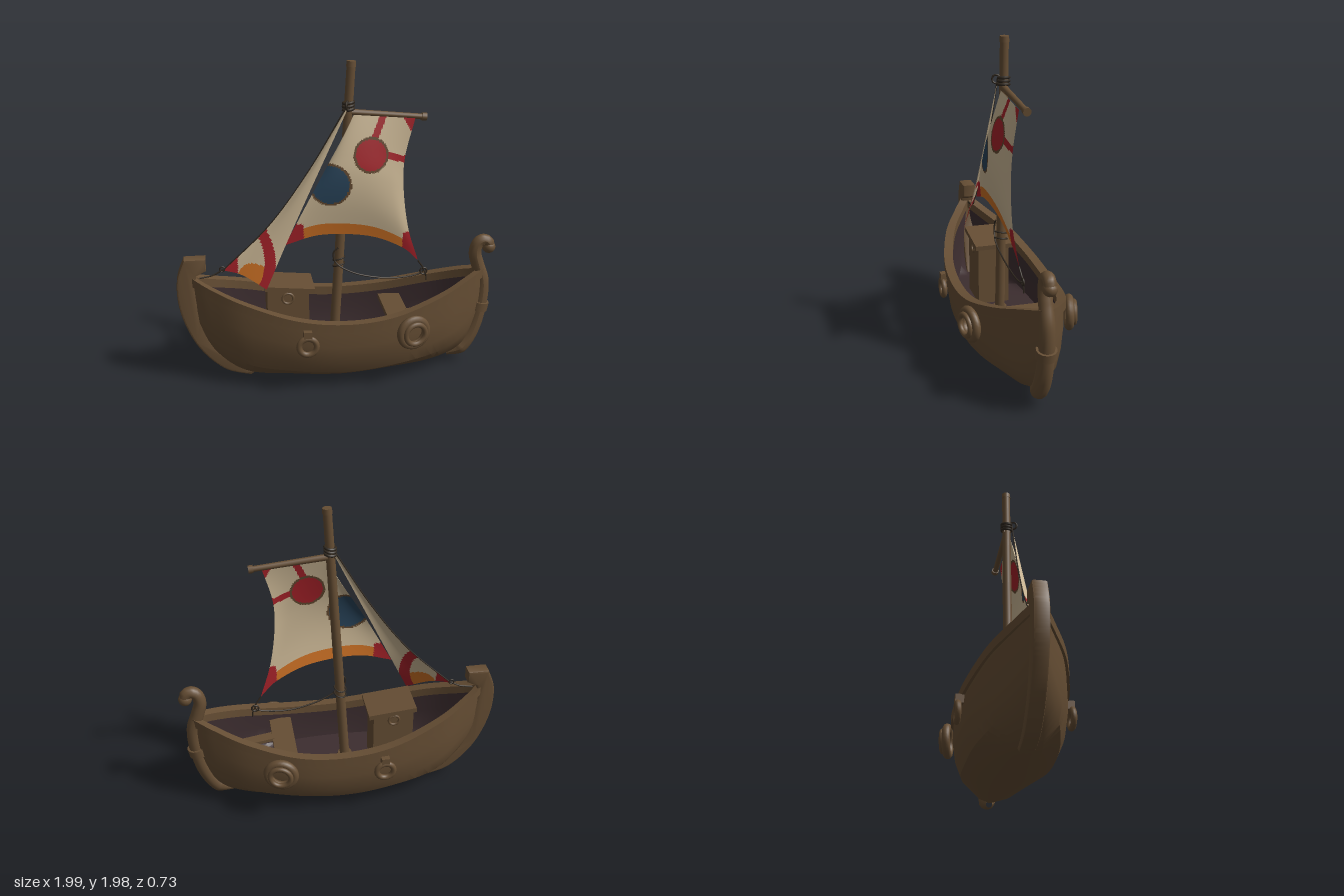
import * as THREE from 'three';
import { toCreasedNormals } from 'three/addons/utils/BufferGeometryUtils.js';

const V = (x, y, z = 0) => new THREE.Vector3(x, y, z);
const curve = (pts) => new THREE.CatmullRomCurve3(pts.map((p) => V(...p)), false, 'catmullrom');
const mat = (name, color, side = THREE.FrontSide) => {
  const m = new THREE.MeshStandardMaterial({ color, side });
  m.name = name;
  return m;
};

// Surface through rows of points, one row per cross-section
function loft(rows, crease = 0.7) {
  const n = rows[0].length, index = [];
  for (let i = 0; i < rows.length - 1; i++) {
    for (let j = 0; j < n - 1; j++) {
      const a = i * n + j, b = a + n;
      index.push(a, b, a + 1, b, b + 1, a + 1);
    }
  }
  const g = new THREE.BufferGeometry().setFromPoints(rows.flat());
  g.setIndex(index);
  return toCreasedNormals(g, crease);
}

// Four-edged cloth patch whose cells are grouped by paint colour
function sailGeometry(bottom, top, left, right, bulge, paint, N = 90) {
  const pts = [], cells = [[], [], [], [], []];
  const c00 = bottom.getPoint(0), c10 = bottom.getPoint(1), c01 = top.getPoint(0), c11 = top.getPoint(1);
  for (let j = 0; j <= N; j++) {
    for (let i = 0; i <= N; i++) {
      const u = i / N, v = j / N;
      const p = bottom.getPoint(u).multiplyScalar(1 - v).addScaledVector(top.getPoint(u), v)
        .addScaledVector(left.getPoint(v), 1 - u).addScaledVector(right.getPoint(v), u)
        .addScaledVector(c00, -(1 - u) * (1 - v)).addScaledVector(c10, -u * (1 - v))
        .addScaledVector(c01, -(1 - u) * v).addScaledVector(c11, -u * v);
      p.z += bulge * Math.sin(Math.PI * u) * Math.sin(Math.PI * v);
      pts.push(p);
    }
  }
  for (let j = 0; j < N; j++) {
    for (let i = 0; i < N; i++) {
      const a = j * (N + 1) + i, d = a + N + 1;
      const x = (pts[a].x + pts[d + 1].x) / 2, y = (pts[a].y + pts[d + 1].y) / 2;
      cells[paint(x, y, (i + 0.5) / N, (j + 0.5) / N)].push(a, a + 1, d, a + 1, d + 1, d);
    }
  }
  const g = new THREE.BufferGeometry().setFromPoints(pts);
  g.setIndex(cells.flat());
  let start = 0;
  cells.forEach((c, k) => { g.addGroup(start, c.length, k); start += c.length; });
  g.computeVertexNormals();
  return g;
}

const near = (x, y, cx, cy) => Math.hypot(x - cx, y - cy);
function segDist(x, y, ax, ay, bx, by) {
  const dx = bx - ax, dy = by - ay;
  const t = THREE.MathUtils.clamp(((x - ax) * dx + (y - ay) * dy) / (dx * dx + dy * dy), 0, 1);
  return near(x, y, ax + dx * t, ay + dy * t);
}

export function createModel() {
  const model = new THREE.Group();
  model.name = 'sailboat';
  const wood = mat('wood', 0x664e34), hullWood = mat('hullWood', 0x664e34, THREE.DoubleSide);
  hullWood.name = 'wood shell';
  const dark = mat('dark interior', 0x3c2d2f, THREE.DoubleSide), rope = mat('rope', 0x30281f);
  const cloth = [['cream cloth', 0xcbb795], ['red paint', 0xa32128], ['orange paint', 0xcb7024],
    ['blue paint', 0x284359], ['brown outline', 0x62482f]].map(([n, c]) => mat(n, c, THREE.DoubleSide));
  const add = (name, geo, m, x = 0, y = 0, z = 0, parent = model) => {
    const mesh = new THREE.Mesh(geo, m);
    mesh.name = name;
    mesh.position.set(x, y, z);
    parent.add(mesh);
    return mesh;
  };
  const tube = (name, pts, r, m, seg = 40) => add(name, new THREE.TubeGeometry(curve(pts), seg, r, 8), m);
  const pole = (name, a, b, ra, rb, m = wood) => {
    const d = b.clone().sub(a), mid = a.clone().add(b).multiplyScalar(0.5);
    const mesh = add(name, new THREE.CylinderGeometry(rb, ra, d.length(), 14), m, mid.x, mid.y, mid.z);
    mesh.quaternion.setFromUnitVectors(V(0, 1, 0), d.normalize());
    return mesh;
  };

  // Hull stations: x, half width, rail height, keel height
  const stations = [[-0.92, 0.02, 0.7, 0.42], [-0.8, 0.1, 0.645, 0.2], [-0.6, 0.205, 0.575, 0.045],
    [-0.3, 0.285, 0.49, 0.018], [0, 0.305, 0.455, 0], [0.3, 0.285, 0.475, 0.02],
    [0.6, 0.205, 0.55, 0.045], [0.8, 0.105, 0.615, 0.13], [0.92, 0.02, 0.65, 0.4]];
  const plan = curve(stations.map(([x, w, t]) => [x, w, t]));
  const keel = curve(stations.map(([x, , , b]) => [x, b, 0]));
  const half = [[0, 0], [0.4, 0.05], [0.82, 0.22], [0.94, 0.4], [1, 0.65], [0.98, 0.97]];
  const profile = [...half.slice(1).reverse().map(([z, y]) => [-z, y]), ...half];
  const outer = [], inner = [], rails = [[], []];
  for (let i = 0; i <= 48; i++) {
    const { x, y: w, z: top } = plan.getPoint(i / 48), bot = keel.getPoint(i / 48).y;
    const wi = Math.max(w - 0.03, 0.002);
    outer.push(profile.map(([z, y]) => V(x, bot + (top - bot) * y, z * w)));
    inner.push(profile.map(([z, y]) => V(x, Math.max(bot + (top - bot) * y, 0.2), z * wi)));
    const a = Math.max(w - 0.045, 0), b = w + 0.013;
    [1, -1].forEach((s, k) => rails[k].push(
      [[a, top], [b, top], [b, top - 0.055], [a, top - 0.055], [a, top]].map(([z, y]) => V(x, y, s * z))));
  }
  add('hullOutside', loft(outer, 0.5), hullWood);
  add('hullInside', loft(inner), dark);
  rails.forEach((r, k) => add(k ? 'backRail' : 'frontRail', loft(r), hullWood));

  // Flat stem post with a hooked top
  const s = new THREE.Shape();
  s.moveTo(-0.83, 0.8);
  s.lineTo(-0.94, 0.8);
  s.splineThru([[-0.985, 0.66], [-0.97, 0.46], [-0.88, 0.24], [-0.73, 0.08], [-0.57, 0.025]].map((p) => new THREE.Vector2(...p)));
  s.lineTo(-0.53, 0.05);
  s.splineThru([[-0.65, 0.11], [-0.77, 0.23], [-0.86, 0.45], [-0.9, 0.6], [-0.89, 0.71]].map((p) => new THREE.Vector2(...p)));
  s.lineTo(-0.83, 0.74);
  add('flatStem', toCreasedNormals(new THREE.ExtrudeGeometry(s, {
    depth: 0.064, bevelSize: 0.012, bevelThickness: 0.012, bevelSegments: 2, curveSegments: 24 }), 0.6), wood, 0, 0, -0.032);

  // Round stem post with a curled top, tapered along its length
  const stemPath = curve([[0.7, 0.06], [0.8, 0.11], [0.87, 0.23], [0.91, 0.39], [0.92, 0.55], [0.885, 0.67],
    [0.865, 0.75], [0.882, 0.815], [0.922, 0.833], [0.953, 0.807], [0.95, 0.785]]);
  const stemGeo = new THREE.TubeGeometry(stemPath, 70, 1, 14);
  const sp = stemGeo.attributes.position, v = V(0, 0);
  for (let i = 0; i < sp.count; i++) {
    const t = Math.floor(i / 15) / 70, c = stemPath.getPointAt(t);
    const r = t < 0.1 ? 0.02 + t * 0.33 : 0.055 - 0.019 * t;
    v.fromBufferAttribute(sp, i).sub(c).multiplyScalar(r).add(c);
    sp.setXYZ(i, v.x, v.y, v.z);
  }
  stemGeo.computeVertexNormals();
  add('curledStem', stemGeo, wood);
  add('curlTip', new THREE.SphereGeometry(0.042, 16, 12), wood, 0.952, 0.785, 0);
  pole('stemBand', V(0.902, 0.36), V(0.913, 0.415), 0.06, 0.06);

  // Mast, yard and lashings
  pole('mast', V(-0.035, 0.2), V(0.069, 1.96), 0.031, 0.026);
  pole('mastCap', V(0.068, 1.945), V(0.07, 1.978), 0.029, 0.027);
  pole('mastFoot', V(-0.036, 0.2), V(-0.033, 0.25), 0.05, 0.045);
  pole('yard', V(0.03, 1.68), V(0.51, 1.635), 0.02, 0.017);
  pole('yardTip', V(0.495, 1.637), V(0.523, 1.634), 0.024, 0.024);
  for (const y of [1.695, 1.715, 1.735]) {
    const lash = add('mastLashing', new THREE.TorusGeometry(0.031, 0.009, 8, 20), rope, 0.054, y, 0);
    lash.rotation.set(Math.PI / 2, 0.15, 0);
  }
  add('blockRing', new THREE.TorusGeometry(0.025, 0.006, 8, 18), rope, 0.04, 1.725, 0.04).rotation.y = 1.2;

  // Main sail
  const main = sailGeometry(
    curve([[-0.34, 0.89, 0.07], [-0.12, 0.945, 0.07], [0.17, 0.92, 0.06], [0.38, 0.83, 0.045], [0.49, 0.73, 0.03]]),
    curve([[0.09, 1.665, 0.025], [0.45, 1.633, 0.025]]),
    curve([[-0.34, 0.89, 0.07], [-0.18, 1.19, 0.07], [-0.05, 1.42, 0.045], [0.09, 1.665, 0.025]]),
    curve([[0.49, 0.73, 0.03], [0.42, 0.95, 0.05], [0.385, 1.2, 0.05], [0.39, 1.4, 0.04], [0.45, 1.633, 0.025]]),
    0.035, (x, y, u, w) => {
      const r = near(x, y, 0.18, 1.43), b = near(x, y, -0.065, 1.26);
      if (r < 0.092) return 1;
      if (b < 0.112) return 3;
      if (r < 0.107 || b < 0.126) return 4;
      if (segDist(x, y, 0.2, 1.52, 0.27, 1.68) < 0.02 || segDist(x, y, 0.28, 1.42, 0.45, 1.375) < 0.02) return 1;
      if (x > 0.38 && (x - 0.38) * 1.8 > 1.64 - y && y > 1.5) return 1;
      if (x < -0.225 && y < 1.02) return 1;
      if (x > 0.385 && y < 0.93) return 1;
      return w < 0.085 ? 2 : 0;
    });
  add('mainSail', main, cloth);

  // Fore sail
  const fore = sailGeometry(
    curve([[-0.715, 0.72, 0], [-0.6, 0.705, 0.06], [-0.46, 0.632, 0.13]]),
    curve([[0.035, 1.7, 0.035], [0.042, 1.7, 0.038]]),
    curve([[-0.715, 0.72, 0], [-0.43, 1.0, 0.015], [-0.19, 1.33, 0.025], [0.035, 1.7, 0.035]]),
    curve([[-0.46, 0.632, 0.13], [-0.34, 0.89, 0.09], [-0.19, 1.21, 0.065], [0.042, 1.7, 0.038]]),
    0.01, (x, y) => {
      const d = near(x, y, -0.75, 0.8);
      if (x < -0.625 || (d > 0.285 && d < 0.35)) return 1;
      return near(x, y, -0.53, 0.68) < 0.1 ? 2 : 0;
    });
  add('foreSail', fore, cloth);

  // Rigging lines and rings
  tube('foreTackLine', [[-0.715, 0.725, 0], [-0.78, 0.69, 0], [-0.86, 0.675, 0]], 0.005, rope, 12);
  tube('foreStay', [[-0.715, 0.72, 0], [-0.43, 1.0, 0.014], [-0.19, 1.33, 0.024], [0.045, 1.73, 0.035]], 0.004, rope);
  tube('mainSheet', [[0.49, 0.73, 0.03], [0.53, 0.655, 0.02], [0.45, 0.622, 0.02], [0.3, 0.617, 0.02], [0.14, 0.65, 0.03],
    [0.03, 0.7, 0.04], [-0.03, 0.75, 0.035], [-0.04, 0.81, 0.03], [-0.01, 0.84, 0.03]], 0.005, rope, 60);
  tube('sheetTail', [[0.53, 0.66, 0.02], [0.545, 0.63, 0.02], [0.55, 0.59, 0.02]], 0.004, rope, 10);
  add('tackRing', new THREE.TorusGeometry(0.015, 0.005, 8, 16), rope, -0.72, 0.727, 0);
  add('clewRing', new THREE.TorusGeometry(0.021, 0.006, 8, 16), rope, 0.53, 0.652, 0.02);
  for (const y of [0.72, 0.76]) {
    const coil = add('mastCoil', new THREE.TorusGeometry(0.037, 0.005, 8, 20), rope, -0.003, y, 0);
    coil.rotation.set(1.4, 0.25, 0);
  }

  // Cabin with sloping roof and round windows
  const cabin = new THREE.Group();
  cabin.name = 'cabin';
  model.add(cabin);
  add('cabinWalls', new THREE.BoxGeometry(0.255, 0.4, 0.2), wood, -0.328, 0.4, -0.005, cabin);
  add('cabinRoof', new THREE.BoxGeometry(0.305, 0.03, 0.25), wood, -0.318, 0.613, -0.005, cabin).rotation.z = -0.1;
  for (const z of [0.097, -0.107]) {
    add('windowFrame', new THREE.TorusGeometry(0.033, 0.008, 8, 20), wood, -0.33, 0.55, z, cabin);
  }

  // Bench and loose plank
  add('bench', new THREE.BoxGeometry(0.14, 0.03, 0.48), wood, 0.36, 0.38, 0);
  add('loosePlank', new THREE.BoxGeometry(0.21, 0.02, 0.07), wood, 0.53, 0.39, 0.035).rotation.y = 0.2;

  // Ring fenders on both sides
  for (const side of [1, -1]) {
    const small = new THREE.Group();
    small.name = 'smallFender';
    small.position.set(-0.235, 0.33, side * 0.325);
    add('fenderRing', new THREE.TorusGeometry(0.053, 0.018, 10, 28), wood, 0, 0, 0, small);
    add('fenderStrap', new THREE.BoxGeometry(0.05, 0.05, 0.05), wood, 0, 0.075, -side * 0.01, small);
    const large = new THREE.Group();
    large.name = 'largeFender';
    large.position.set(0.413, 0.37, side * 0.305);
    large.rotation.y = side * 0.25;
    add('outerRing', new THREE.TorusGeometry(0.084, 0.026, 10, 32), wood, 0, 0, 0, large);
    add('innerRing', new THREE.TorusGeometry(0.064, 0.016, 10, 32), wood, 0, 0, side * 0.03, large);
    model.add(small, large);
  }
  return model;
}
